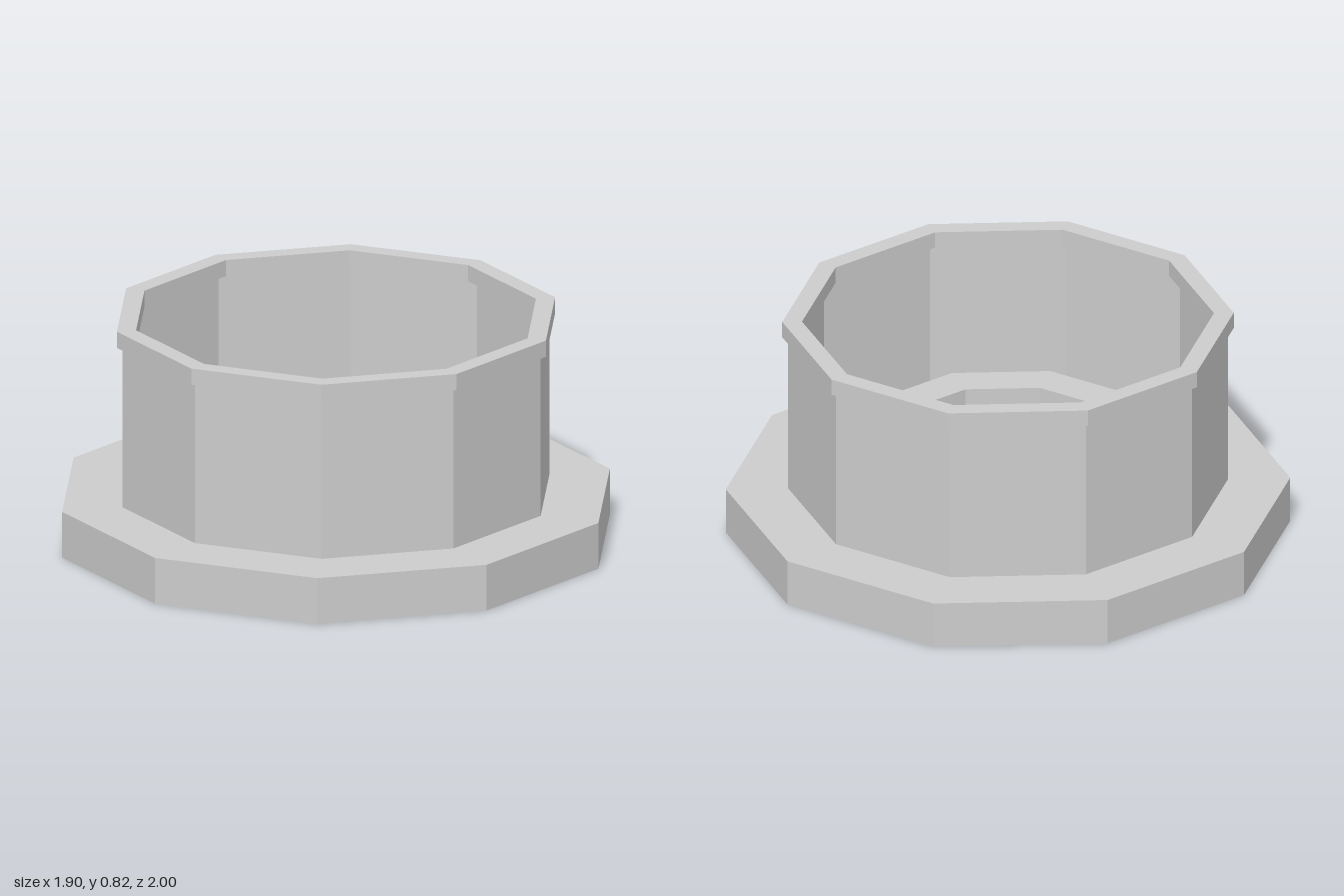
import * as THREE from 'three';

const SIDES = 10;

// Ten-sided flat-faced turning of a [radius, height] profile, corners on the z axis
function turned(name, profile, material, start = 0, sides = SIDES) {
  const points = profile.map(([r, y]) => new THREE.Vector2(r, y));
  const sweep = (sides / SIDES) * Math.PI * 2;
  const geometry = new THREE.LatheGeometry(points, sides, start, sweep).toNonIndexed();
  geometry.computeVertexNormals();
  const mesh = new THREE.Mesh(geometry, material);
  mesh.name = name;
  return mesh;
}

// Closed profile of a rectangular ring
const ring = (inner, outer, y0, y1) => [
  [inner, y0], [outer, y0], [outer, y1], [inner, y1], [inner, y0],
];

export function createModel() {
  const model = new THREE.Group();
  model.name = 'flangedTub';

  const grey = new THREE.MeshStandardMaterial({
    color: 0xcccccc, flatShading: true, side: THREE.DoubleSide,
  });
  grey.name = 'grey';

  // Wide foot, thin wall and overhanging lip
  model.add(turned('baseFlange', ring(0.565, 1, 0, 0.17), grey));
  model.add(turned('wall', [[0.78, 0.17], [0.78, 0.78]], grey));
  model.add(turned('rim', ring(0.73, 0.8, 0.765, 0.825), grey));

  // Raised hollow hub inside, with half of its opening closed
  const top = 0.346, hole = 0.425;
  model.add(turned('hub', [
    [0, 0.004], [0.565, 0.004], [0.565, top], [hole, top], [hole, 0.02], [0, 0.02],
  ], grey));
  model.add(turned('hubHalfCover', [[hole, top], [0, top]], grey,
    THREE.MathUtils.degToRad(108), SIDES / 2));

  return model;
}
